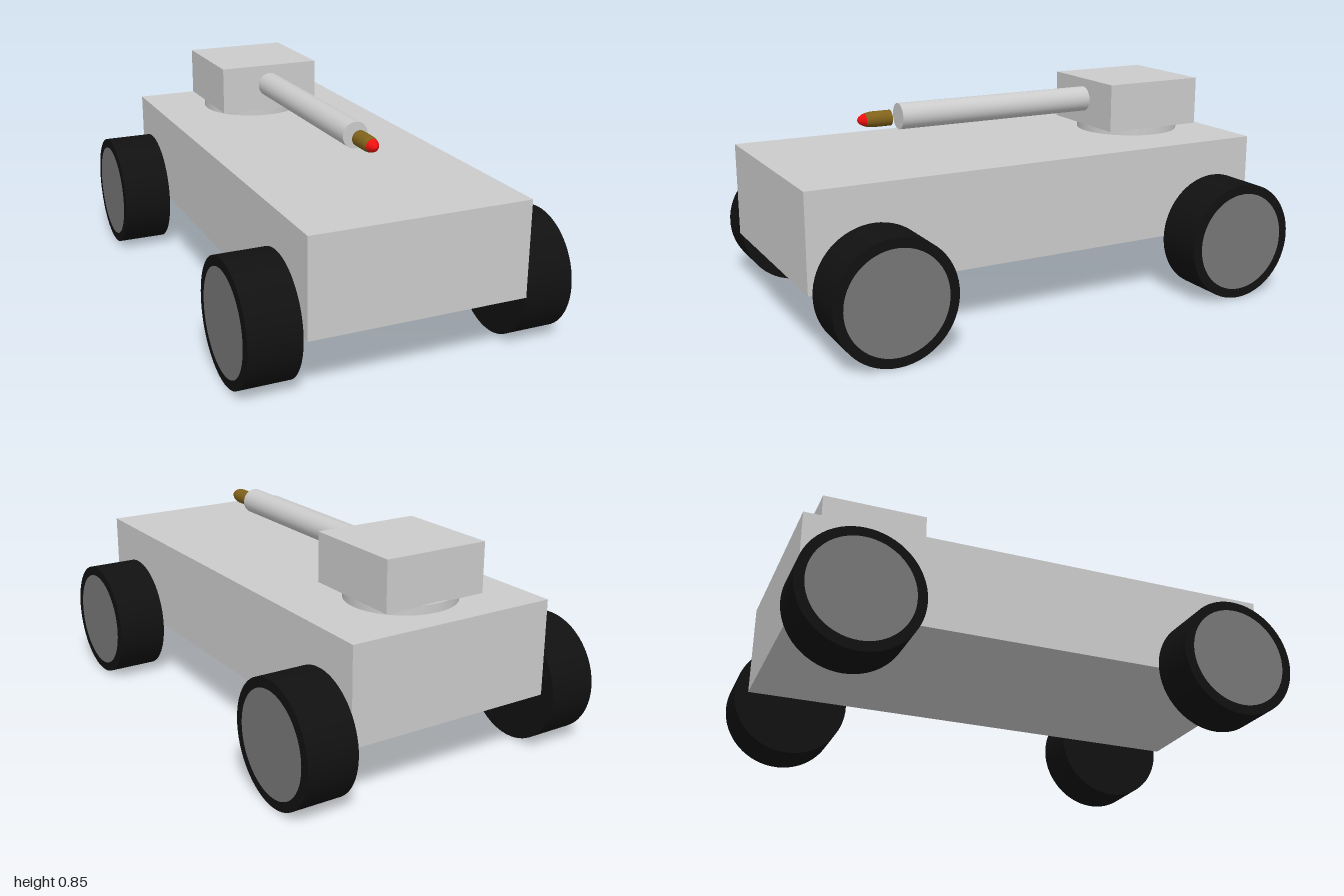
import * as THREE from 'three';

const paint = (color) => new THREE.MeshStandardMaterial({ color });

export function createModel() {
  const model = new THREE.Group();
  const grey = paint(0xcccccc);
  const black = paint(0x111111);
  const hubGrey = paint(0x777777);
  const brass = paint(0x80621a);
  const red = paint(0xf01010);

  const add = (name, geometry, material, x, y, z, parent = model) => {
    const mesh = new THREE.Mesh(geometry, material);
    mesh.name = name;
    mesh.position.set(x, y, z);
    parent.add(mesh);
    return mesh;
  };

  // Hull
  add('hull', new THREE.BoxGeometry(0.866, 0.379, 1.945), grey, 0, 0.4295, 0.0275);

  // Turret on its ring
  add('turretRing', new THREE.CylinderGeometry(0.216, 0.216, 0.04, 48), grey, 0, 0.634, -0.625);
  add('turret', new THREE.BoxGeometry(0.432, 0.196, 0.432), grey, 0, 0.748, -0.615);

  // Gun barrel
  const barrel = new THREE.CylinderGeometry(0.052, 0.052, 0.88, 40).rotateX(Math.PI / 2);
  add('barrel', barrel, grey, 0, 0.759, 0.02);

  // Shell in flight: brass body with a rounded nose and a red tip
  const shell = new THREE.Group();
  shell.name = 'shell';
  shell.position.set(0, 0.757, 0.495);
  model.add(shell);
  const lathe = (points) => new THREE.LatheGeometry(
    points.map(([r, z]) => new THREE.Vector2(r, z)), 32).rotateX(Math.PI / 2);
  add('shellBase', new THREE.CircleGeometry(0.031, 32).rotateY(Math.PI), brass, 0, 0, 0, shell);
  add('shellBody', lathe([[0.031, 0], [0.031, 0.075], [0.0295, 0.09], [0.026, 0.106]]),
    brass, 0, 0, 0, shell);
  add('shellTip', lathe([[0.026, 0.106], [0.021, 0.118], [0.014, 0.129], [0.007, 0.134], [0, 0.136]]),
    red, 0, 0, 0, shell);

  // Four wheels, each with a flush hub disc on its outer face
  const tyre = new THREE.CylinderGeometry(0.238, 0.238, 0.201, 64).rotateZ(Math.PI / 2);
  const hub = new THREE.CircleGeometry(0.2, 64).rotateY(Math.PI / 2);
  for (const side of [1, -1]) {
    for (const [end, z] of [['front', 0.748], ['rear', -0.762]]) {
      const wheel = new THREE.Group();
      wheel.name = `${end}${side > 0 ? 'Left' : 'Right'}Wheel`;
      wheel.position.set(side * 0.5415, 0.238, z);
      if (side < 0) wheel.rotation.y = Math.PI;
      add('tyre', tyre, black, 0, 0, 0, wheel);
      add('hub', hub, hubGrey, 0.1025, 0, 0, wheel);
      model.add(wheel);
    }
  }

  return model;
}
